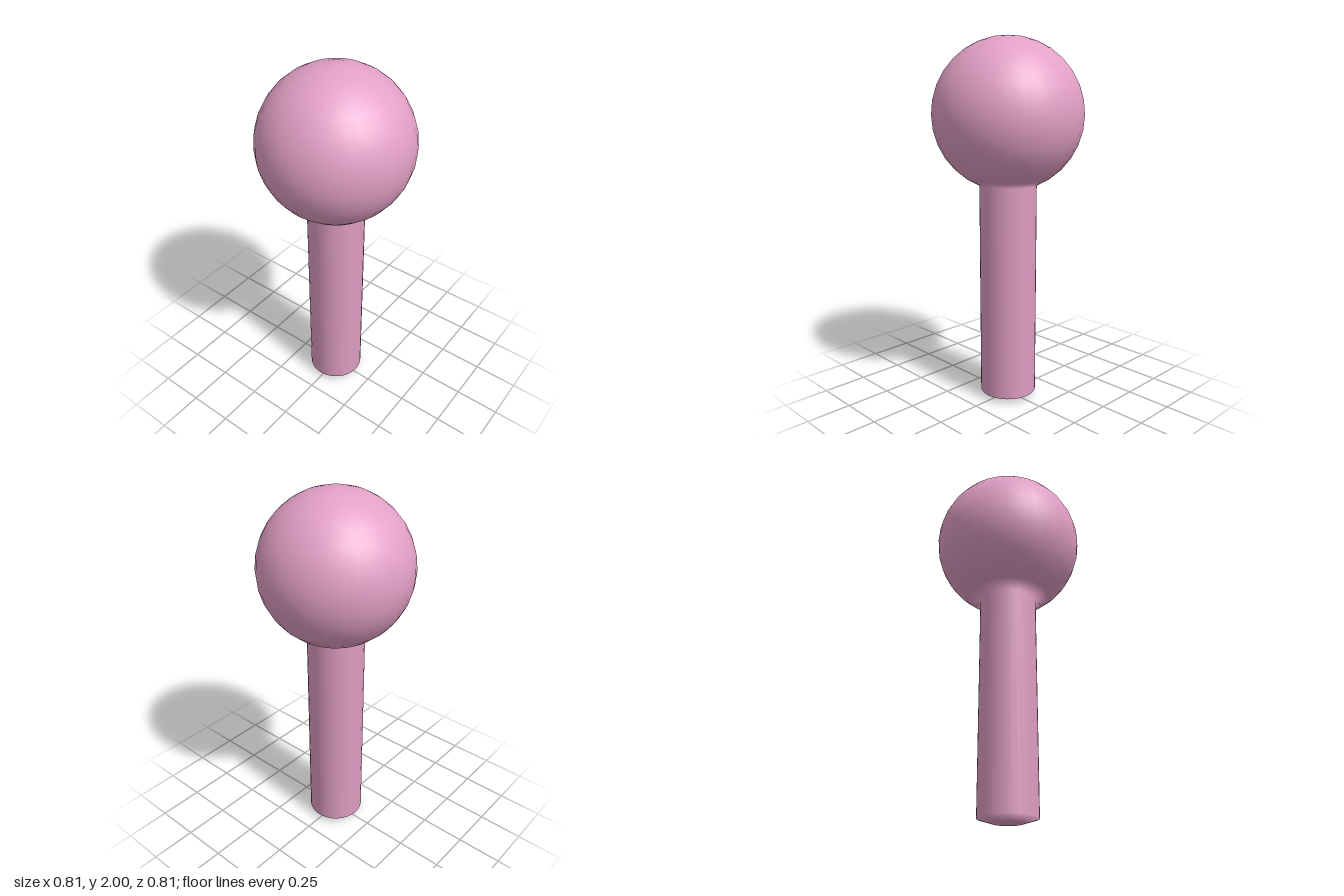
import * as THREE from 'three';

export function createModel() {
  const group = new THREE.Group();
  const R = 0.407, rings = 16, centreY = 2 - R;
  const ringPoint = (i, cy) => {
    const a = (i / rings) * Math.PI; // angle up from the bottom pole
    return new THREE.Vector2(R * Math.sin(a), cy - R * Math.cos(a));
  };

  const profile = [];
  // domed foot: the bottom cap of the ball, drawn down to the ground
  for (let i = 0; i <= 2; i++) profile.push(ringPoint(i, R));
  // straight stem up into the ball
  for (let i = 2; i <= rings; i++) profile.push(ringPoint(i, centreY));
  profile[0].x = 0;
  profile[profile.length - 1].x = 0;

  const pin = new THREE.Mesh(
    new THREE.LatheGeometry(profile, 32),
    new THREE.MeshStandardMaterial({ color: 0xe3a0c6 })
  );
  pin.name = 'ballHeadedPin';
  group.add(pin);
  return group;
}
